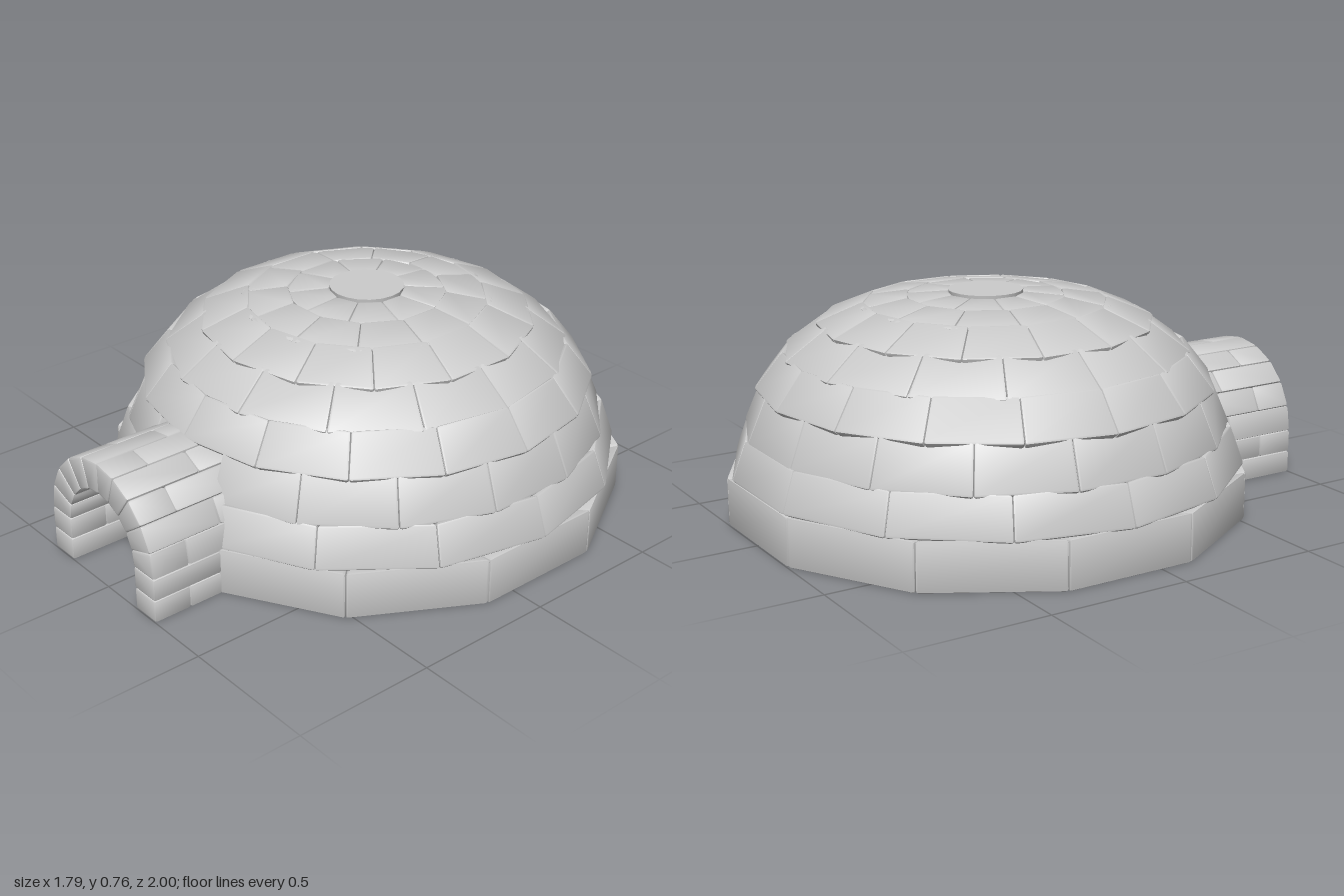
import * as THREE from 'three';
import { mergeGeometries, toCreasedNormals } from 'three/addons/utils/BufferGeometryUtils.js';
import { RoundedBoxGeometry } from 'three/addons/geometries/RoundedBoxGeometry.js';

const V = (x, y, z) => new THREE.Vector3(x, y, z);
const material = new THREE.MeshStandardMaterial({ color: 0xcccccc });

// Bevelled block stretched onto eight corners; corner index = u + 2v + 4w
function block(c) {
  const mean = (bit) => {
    let sum = 0;
    for (let i = 0; i < 8; i++) if (!(i & bit)) sum += c[i].distanceTo(c[i | bit]);
    return sum / 4;
  };
  const size = [mean(1), mean(2), mean(4)];
  const bevel = Math.min(0.008, Math.min(...size) * 0.2);
  const geo = new RoundedBoxGeometry(...size, 1, bevel);
  const pos = geo.attributes.position;
  const p = V(0, 0, 0);
  for (let i = 0; i < pos.count; i++) {
    const t = [pos.getX(i), pos.getY(i), pos.getZ(i)].map((q, k) => q / size[k] + 0.5);
    p.set(0, 0, 0);
    for (let k = 0; k < 8; k++) {
      const weight = (k & 1 ? t[0] : 1 - t[0]) * (k & 2 ? t[1] : 1 - t[1]) * (k & 4 ? t[2] : 1 - t[2]);
      p.addScaledVector(c[k], weight);
    }
    pos.setXYZ(i, p.x, p.y, p.z);
  }
  return toCreasedNormals(geo, 0.6);
}

function addMesh(parent, name, geometry) {
  const mesh = new THREE.Mesh(geometry, material);
  mesh.name = name;
  parent.add(mesh);
  return mesh;
}

// Point on the inner side of a wall, moved along a joint that runs to a low centre
function inner([r, y], thickness, drop) {
  const d = new THREE.Vector2(-r, -0.13 - y).setLength(thickness);
  return [r + d.x, y + d.y - drop];
}

// Ring of blocks; door is the half angle left open at the front
function ring(n, offset, bottom, top, innerBottom, innerTop, door) {
  const step = (2 * Math.PI) / n;
  const at = (a, [r, y]) => V(r * Math.sin(a), y, r * Math.cos(a));
  const blocks = [];
  const addBlock = (a0, a1) => {
    if (a1 - a0 < 0.02) return;
    const corners = [];
    for (const p of [innerBottom, innerTop, bottom, top]) corners.push(at(a0, p), at(a1, p));
    blocks.push(block(corners));
  };
  for (let i = 0; i < n; i++) {
    let mid = (i + offset) * step;
    if (mid > Math.PI + 0.001) mid -= 2 * Math.PI;
    const a0 = mid - step / 2, a1 = mid + step / 2;
    if (door && a0 < door && a1 > -door) {
      addBlock(a0, -door);
      addBlock(door, a1);
    } else addBlock(a0, a1);
  }
  return mergeGeometries(blocks);
}

function createDome() {
  const dome = new THREE.Group();
  dome.name = 'dome';
  dome.position.z = -0.12;

  // Upright base course
  addMesh(dome, 'baseCourse',
    ring(12, 0, [0.911, 0], [0.911, 0.17], [0.69, 0], [0.69, 0.105], 0.262));

  // Leaning courses: count, offset, bottom [r, y], top [r, y], door half angle
  const courses = [
    [14, 0, [0.9, 0.166], [0.85, 0.305], 0.27],
    [16, 0, [0.848, 0.295], [0.78, 0.455], 0.22],
    [16, 0.5, [0.8, 0.445], [0.7, 0.572], 0],
    [14, 0, [0.708, 0.562], [0.56, 0.67], 0],
    [14, 0.5, [0.588, 0.66], [0.42, 0.73], 0],
    [12, 0, [0.442, 0.722], [0.275, 0.75], 0],
    [10, 0.5, [0.285, 0.746], [0.132, 0.757], 0],
  ];
  courses.forEach(([n, offset, bottom, top, door], i) => {
    const thick = i < 4 ? 0.2 : 0.15;
    addMesh(dome, `domeCourse${i + 1}`,
      ring(n, offset, bottom, top, inner(bottom, thick, 0.01), inner(top, thick, 0), door));
  });

  // Round block closing the top
  const cap = addMesh(dome, 'capBlock', new THREE.CylinderGeometry(0.13, 0.11, 0.145, 20));
  cap.position.y = 0.6925;
  return dome;
}

function createTunnel() {
  const outerR = 0.297, innerR = 0.185, spring = 0.16, archBlocks = 10;

  // Section joints, from the foot of one wall over the arch to the other foot
  const joints = [];
  for (const y of [0, 0.08]) joints.push([V(-outerR, y, 0), V(-innerR, y, 0)]);
  for (let i = 0; i <= archBlocks; i++) {
    const a = Math.PI * (1 - i / archBlocks);
    joints.push([outerR, innerR].map((r) => V(r * Math.cos(a), spring + r * Math.sin(a), 0)));
  }
  for (const y of [0.08, 0]) joints.push([V(outerR, y, 0), V(innerR, y, 0)]);

  // Staggered blocks along each course
  const blocks = [];
  for (let i = 0; i < joints.length - 1; i++) {
    const cuts = i % 2 ? [1, 0.86, 0.57] : [1, 0.72, 0.51];
    for (let k = 0; k < cuts.length - 1; k++) {
      const corners = [];
      for (const side of [1, 0])
        for (const z of [cuts[k], cuts[k + 1]])
          for (const j of [i, i + 1]) corners.push(joints[j][side].clone().setZ(z));
      blocks.push(block(corners));
    }
  }
  const tunnel = new THREE.Group();
  tunnel.name = 'entranceTunnel';
  tunnel.position.x = -0.025;
  addMesh(tunnel, 'tunnelBlocks', mergeGeometries(blocks));
  return tunnel;
}

export function createModel() {
  const model = new THREE.Group();
  model.name = 'igloo';
  model.add(createDome(), createTunnel());
  return model;
}
